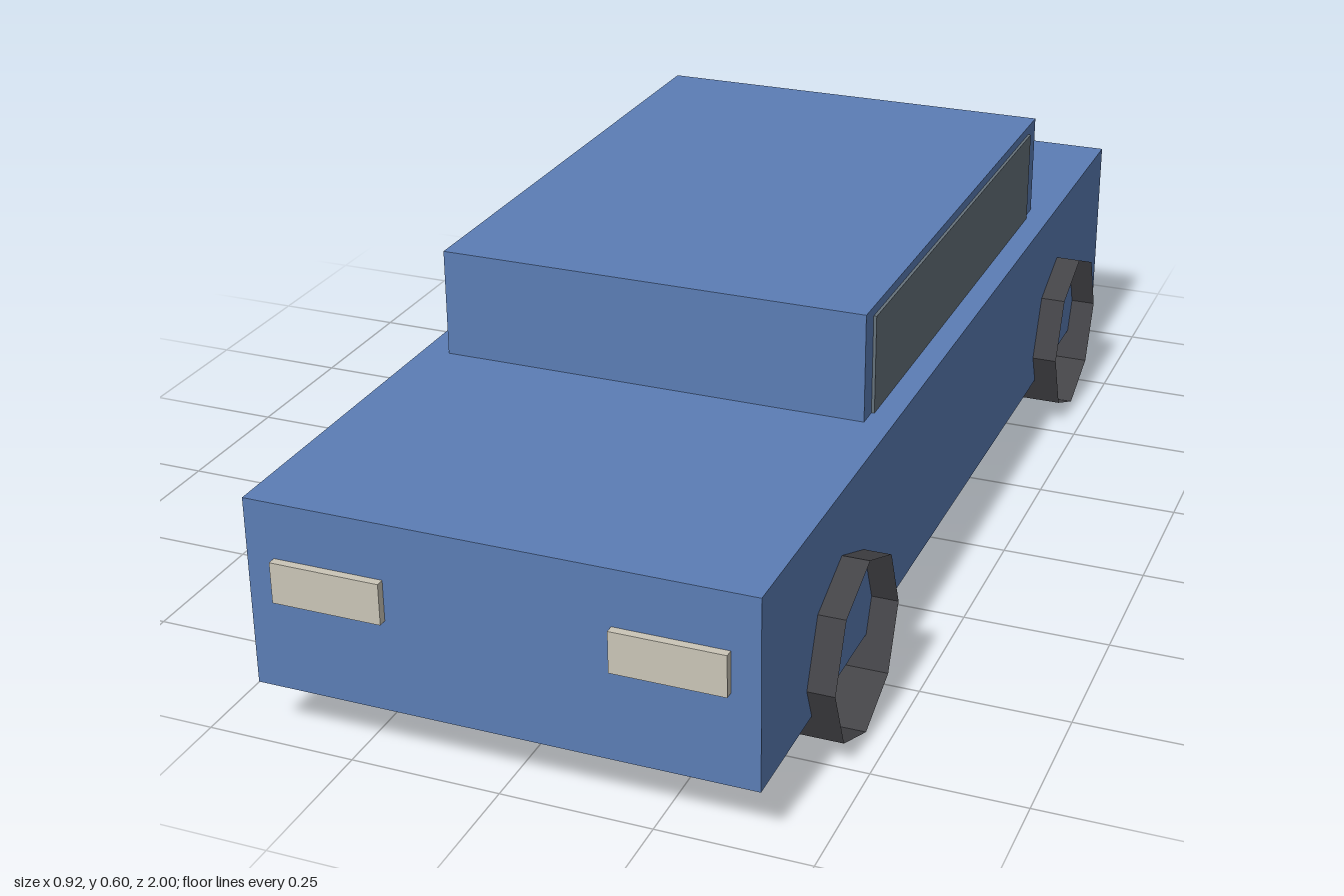
import * as THREE from 'three';

const material = (name, color, options = {}) => {
  const m = new THREE.MeshStandardMaterial({ color, ...options });
  m.name = name;
  return m;
};

export function createModel() {
  const car = new THREE.Group();
  car.name = 'car';

  const paint = material('bluePaint', 0x5b7db5);
  const glass = material('greyGlass', 0x66727b);
  const cream = material('creamLamp', 0xcac5b7);
  const red = material('redLamp', 0xb84a4a);
  const rubber = material('darkRubber', 0x434347, { flatShading: true, side: THREE.DoubleSide });

  const add = (name, geometry, mat, x, y, z) => {
    const mesh = new THREE.Mesh(geometry, mat);
    mesh.name = name;
    mesh.position.set(x, y, z);
    car.add(mesh);
    return mesh;
  };

  // Lower body and cabin
  add('body', new THREE.BoxGeometry(0.826, 0.319, 1.972), paint, 0, 0.2545, 0);
  add('cabin', new THREE.BoxGeometry(0.734, 0.184, 1.006), paint, 0, 0.506, -0.094);

  // Shared shapes for the mirrored parts
  const windowPlate = new THREE.BoxGeometry(0.007, 0.168, 0.92);
  const lamp = new THREE.BoxGeometry(0.183, 0.069, 0.016);
  // Eight-sided open tyre ring with its axis along x
  const tyre = new THREE.CylinderGeometry(0.152, 0.152, 0.092, 8, 1, true).rotateZ(Math.PI / 2);

  for (const [side, s] of [['left', 1], ['right', -1]]) {
    add(`${side}Window`, windowPlate, glass, s * 0.3685, 0.498, -0.088);
    add(`${side}Headlight`, lamp, cream, s * 0.2755, 0.2855, 0.992);
    add(`${side}TailLight`, lamp, red, s * 0.2755, 0.2855, -0.992);
    add(`${side}FrontWheel`, tyre, rubber, s * 0.412, 0.152, 0.643);
    add(`${side}RearWheel`, tyre, rubber, s * 0.412, 0.152, -0.643);
  }

  return car;
}
